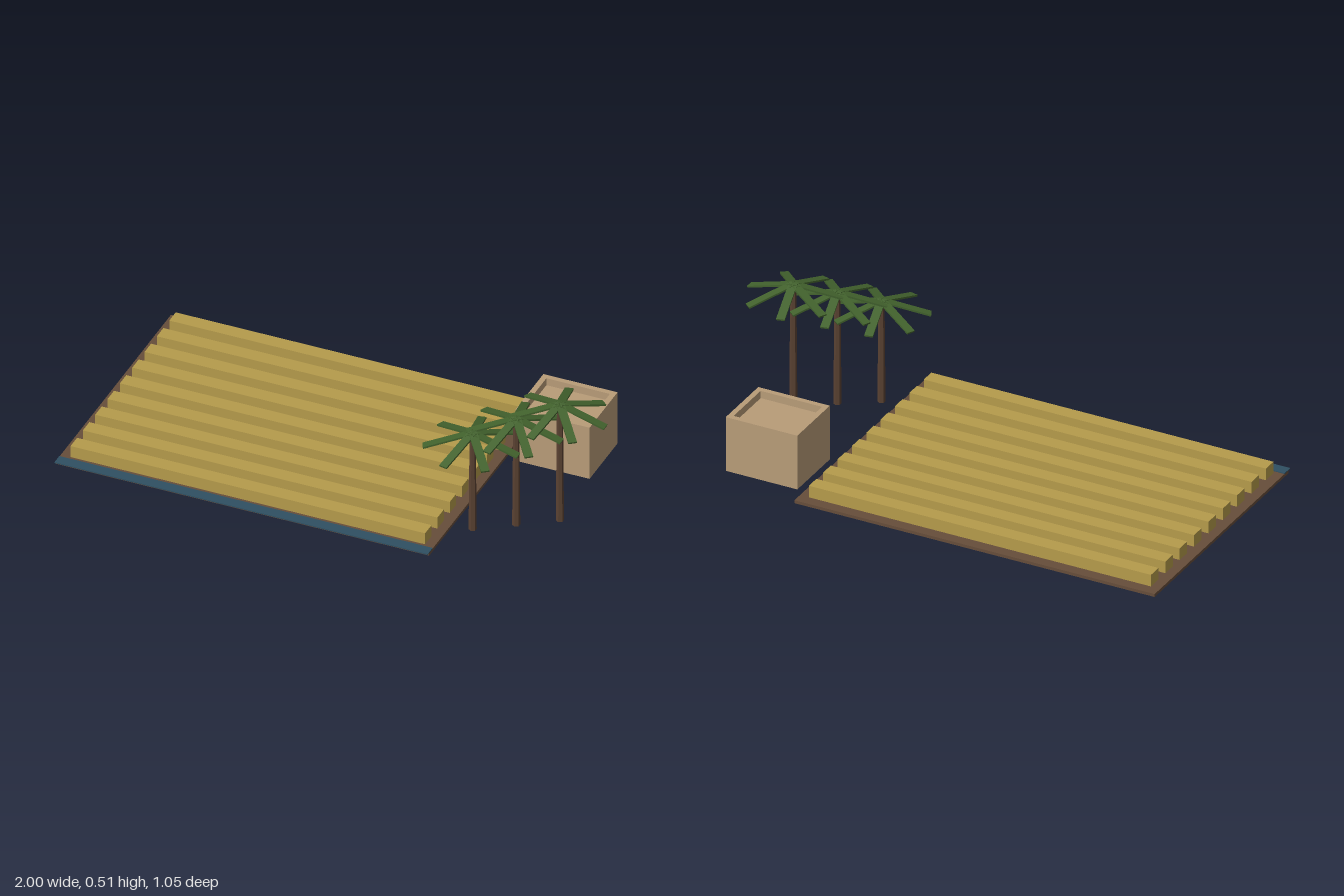
import * as THREE from 'three';

const material = (name, color, flatShading = false) => {
  const m = new THREE.MeshStandardMaterial({ color, flatShading });
  m.name = name;
  return m;
};

export function createModel() {
  const soil = material('soil', 0x664d3a);
  const crop = material('crop', 0xb59b4b);
  const water = material('water', 0x2f5062);
  const brick = material('mudBrick', 0xb89c78);
  const bark = material('bark', 0x5a4232, true);
  const leaf = material('leaf', 0x42622d);

  const model = new THREE.Group();
  model.name = 'farmField';

  // Box given by its minimum and maximum corners
  const box = (name, mat, [x0, y0, z0], [x1, y1, z1], parent = model) => {
    const mesh = new THREE.Mesh(new THREE.BoxGeometry(x1 - x0, y1 - y0, z1 - z0), mat);
    mesh.position.set((x0 + x1) / 2, (y0 + y1) / 2, (z0 + z1) / 2);
    mesh.name = name;
    parent.add(mesh);
    return mesh;
  };

  // Field with a water channel along its front edge
  box('field', soil, [-1, 0, -0.523], [0.475, 0.012, 0.51]);
  box('waterChannel', water, [-1, 0.011, 0.479], [0.475, 0.015, 0.523]);

  // Nine crop rows
  for (let i = 0; i < 9; i++) {
    const z = 0.436 - i * 0.1108;
    box('cropRow', crop, [-0.962, 0.012, z - 0.029], [0.439, 0.06, z + 0.029]);
  }

  // Hut: square walls with a hollow, sunken roof
  const hut = new THREE.Group();
  hut.name = 'hut';
  model.add(hut);
  const [x0, x1, z0, z1, t, top, roof] = [0.513, 0.806, -0.429, -0.178, 0.021, 0.223, 0.193];
  const outline = new THREE.Shape([[x0, -z1], [x1, -z1], [x1, -z0], [x0, -z0]]
    .map(([x, y]) => new THREE.Vector2(x, y)));
  outline.holes.push(new THREE.Path([[x0 + t, -z1 + t], [x0 + t, -z0 - t], [x1 - t, -z0 - t], [x1 - t, -z1 + t]]
    .map(([x, y]) => new THREE.Vector2(x, y))));
  const wallGeometry = new THREE.ExtrudeGeometry(outline, { depth: top, bevelEnabled: false });
  wallGeometry.rotateX(-Math.PI / 2);
  const walls = new THREE.Mesh(wallGeometry, brick);
  walls.name = 'hutWalls';
  hut.add(walls);
  box('hutRoof', brick, [x0 + t, 0, z0 + t], [x1 - t, roof, z1 - t], hut);

  // Palms: tapered trunk with seven drooping fronds
  const frondGeometry = new THREE.BoxGeometry(0.188, 0.007, 0.032);
  frondGeometry.translate(0.094, 0, 0);
  frondGeometry.rotateZ(-0.286);
  for (const [x, z, height] of [[0.549, 0.288, 0.42], [0.682, 0.199, 0.464], [0.815, 0.109, 0.507]]) {
    const palm = new THREE.Group();
    palm.name = 'palm';
    palm.position.set(x, 0, z);
    const trunk = new THREE.Mesh(new THREE.CylinderGeometry(0.011, 0.015, height, 6), bark);
    trunk.position.y = height / 2;
    trunk.name = 'palmTrunk';
    palm.add(trunk);
    for (let i = 0; i < 7; i++) {
      const frond = new THREE.Mesh(frondGeometry, leaf);
      frond.position.y = height;
      frond.rotation.y = (i / 7) * Math.PI * 2;
      frond.name = 'palmFrond';
      palm.add(frond);
    }
    model.add(palm);
  }
  return model;
}
